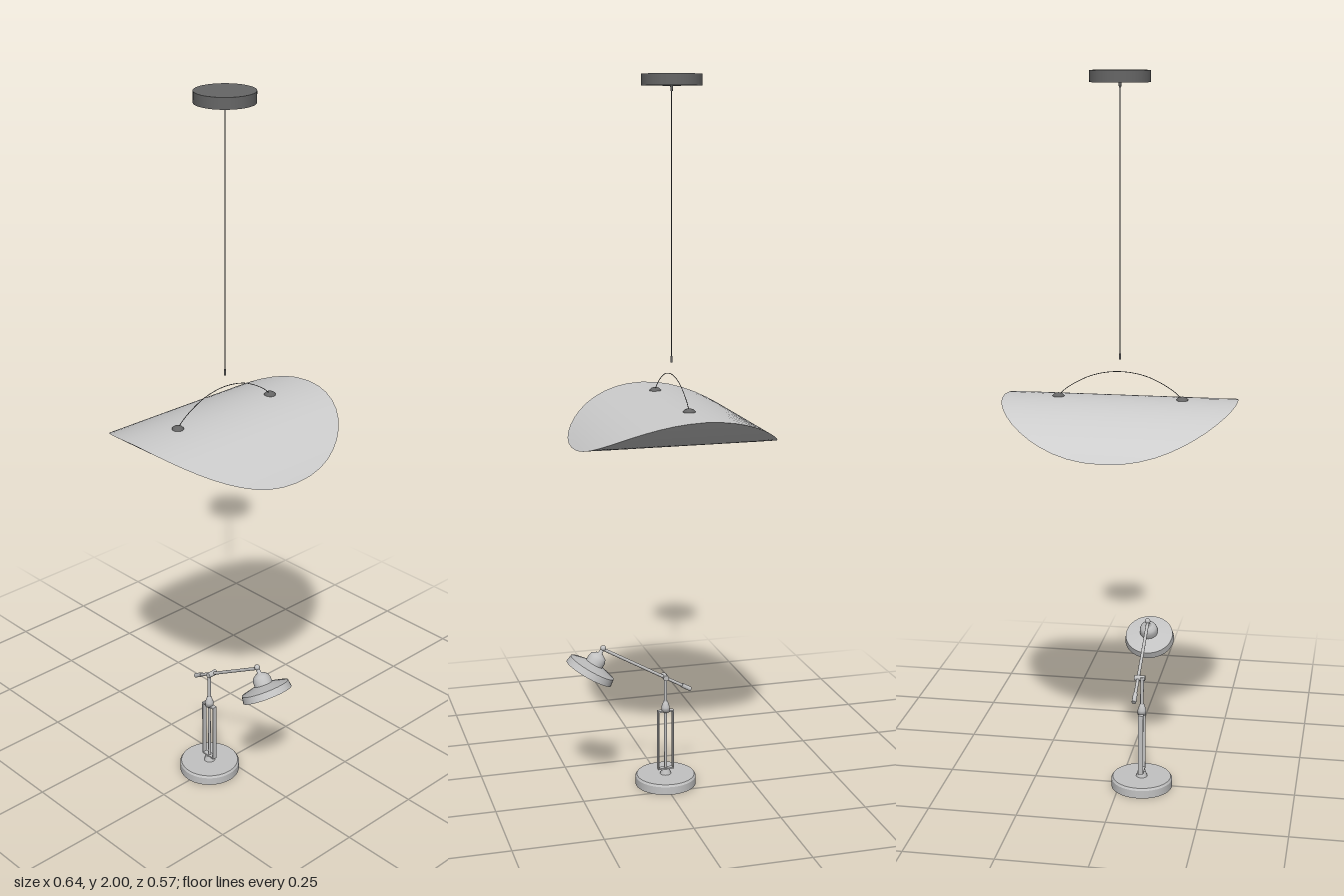
import * as THREE from 'three';

export function createModel() {
  const root = new THREE.Group();
  const mat = (name, color, side = THREE.FrontSide) => {
    const m = new THREE.MeshStandardMaterial({ color, side });
    m.name = name;
    return m;
  };
  const shadeGrey = mat('shadeGrey', 0xcccccc);
  const darkGrey = mat('darkGrey', 0x666666);
  const lampGrey = mat('lampGrey', 0xc2c2c2, THREE.DoubleSide);

  const add = (parent, name, geo, material, x = 0, y = 0, z = 0) => {
    const mesh = new THREE.Mesh(geo, material);
    mesh.name = name;
    mesh.position.set(x, y, z);
    parent.add(mesh);
    return mesh;
  };
  const cyl = (r1, r2, h, n = 24) => new THREE.CylinderGeometry(r1, r2, h, n);
  const lathe = (pts, n = 32) => new THREE.LatheGeometry(pts.map(p => new THREE.Vector2(...p)), n);
  // Straight rod between two points
  const rod = (parent, name, a, b, r, material) => {
    const A = new THREE.Vector3(...a), B = new THREE.Vector3(...b);
    const mesh = add(parent, name, cyl(r, r, A.distanceTo(B), 12), material);
    mesh.position.copy(A).lerp(B, 0.5);
    mesh.quaternion.setFromUnitVectors(new THREE.Vector3(0, 1, 0), B.sub(A).normalize());
    return mesh;
  };

  const CZ = -0.007;

  // ---- Pendant lamp ----
  const pendant = new THREE.Group();
  pendant.name = 'pendantLamp';
  pendant.position.z = CZ;
  root.add(pendant);

  add(pendant, 'canopy', cyl(0.08, 0.08, 0.03, 48), darkGrey, 0, 1.985, 0);
  add(pendant, 'cordGrip', cyl(0.004, 0.003, 0.015, 12), darkGrey, 0, 1.963, 0);
  add(pendant, 'cord', cyl(0.0015, 0.0015, 0.72, 8), darkGrey, 0, 1.61, 0);
  add(pendant, 'cordEnd', cyl(0.003, 0.003, 0.016, 12), darkGrey, 0, 1.249, 0);

  // Shade: the top bends along z, the underside spans straight across the rim
  const W = 0.32, D = 0.278, TOP = 1.135, R = 0.3935, N = 2.2;
  const bend = z => TOP - R + Math.sqrt(R * R - z * z);
  const rimZ = x => D * Math.pow(Math.max(0, 1 - Math.pow(Math.abs(x) / W, N)), 1 / N);
  const power = v => Math.sign(v) * Math.pow(Math.abs(v), 2 / N);
  const shell = (height, up) => {
    const rings = 20, segs = 48, pos = [], idx = [];
    for (let i = 0; i <= rings; i++) {
      for (let j = 0; j < segs; j++) {
        const t = (j / segs) * Math.PI * 2;
        const x = (W * power(Math.cos(t)) * i) / rings;
        const z = (D * power(Math.sin(t)) * i) / rings;
        pos.push(x, height(x, z), z);
        if (i === rings) continue;
        const k = (j + 1) % segs;
        const a = i * segs + j, b = a + segs, d = i * segs + k, c = d + segs;
        if (up) idx.push(a, d, b, b, d, c);
        else idx.push(a, b, d, b, c, d);
      }
    }
    const g = new THREE.BufferGeometry();
    g.setAttribute('position', new THREE.Float32BufferAttribute(pos, 3));
    g.setIndex(idx);
    g.computeVertexNormals();
    return g;
  };
  add(pendant, 'shadeTop', shell((x, z) => bend(z), true), shadeGrey);
  add(pendant, 'shadeUnderside', shell(x => bend(rimZ(x)), false), shadeGrey);

  // Knobs and the suspension wire arched between them
  for (const s of [-1, 1]) {
    add(pendant, 'knob', lathe([[0.016, 0], [0.016, 0.004], [0.011, 0.009], [0.004, 0.011], [0, 0.011]], 24),
      darkGrey, s * 0.17, 1.133, 0);
  }
  const arch = [[-0.168, 1.14], [-0.14, 1.163], [-0.075, 1.196], [0, 1.208], [0.075, 1.196], [0.14, 1.163], [0.168, 1.14]];
  const wire = new THREE.CatmullRomCurve3(arch.map(p => new THREE.Vector3(p[0], p[1], 0)));
  add(pendant, 'suspensionWire', new THREE.TubeGeometry(wire, 40, 0.001, 6), darkGrey);

  // ---- Desk lamp ----
  const desk = new THREE.Group();
  desk.name = 'deskLamp';
  desk.position.set(-0.063, 0, CZ);
  root.add(desk);

  add(desk, 'baseDisc', cyl(0.087, 0.087, 0.023, 48), lampGrey, 0, 0.0115, 0);
  add(desk, 'baseTop', cyl(0.083, 0.087, 0.006, 48), lampGrey, 0, 0.026, 0);
  add(desk, 'lowerCollar', cyl(0.011, 0.016, 0.016), lampGrey, 0, 0.037, 0);

  // Post: two flat strips around a slim core
  for (const s of [-1, 1]) {
    add(desk, 'postStrip', new THREE.BoxGeometry(0.014, 0.175, 0.003), lampGrey, 0, 0.1325, s * 0.022);
  }
  for (const y of [0.045, 0.22]) {
    add(desk, 'postBridge', new THREE.BoxGeometry(0.014, 0.004, 0.047), lampGrey, 0, y, 0);
  }
  add(desk, 'postCore', cyl(0.004, 0.004, 0.19, 12), lampGrey, 0, 0.13, 0);
  add(desk, 'upperCollar', lathe([[0, 0], [0.012, 0], [0.012, 0.014], [0.006, 0.032], [0, 0.032]], 24), lampGrey, 0, 0.218, 0);
  add(desk, 'stem', cyl(0.005, 0.005, 0.085, 12), lampGrey, 0, 0.288, 0);

  // Tilted arm on its pivot
  rod(desk, 'pivot', [-0.008, 0.326, 0.004], [0.022, 0.326, 0.004], 0.008, lampGrey);
  rod(desk, 'arm', [0.012, 0.283, -0.071], [0.012, 0.427, 0.185], 0.0045, lampGrey);
  rod(desk, 'armHandle', [0.012, 0.283, -0.071], [0.012, 0.298, -0.045], 0.0065, lampGrey);

  // Head
  const head = new THREE.Group();
  head.name = 'lampHead';
  head.position.set(0.0125, 0.36, 0.227);
  head.rotation.x = -0.541;
  desk.add(head);
  add(head, 'headRim', cyl(0.069, 0.072, 0.02, 40), lampGrey, 0, 0.01, 0);
  add(head, 'headCone', cyl(0.027, 0.069, 0.012, 40), lampGrey, 0, 0.026, 0);
  add(head, 'socket', lathe([[0.026, 0.03], [0.026, 0.045], [0.022, 0.056], [0.012, 0.063], [0.006, 0.066], [0.005, 0.08]]), lampGrey);
  add(head, 'headJoint', new THREE.SphereGeometry(0.008, 16, 12), lampGrey, 0, 0.082, 0);

  return root;
}
